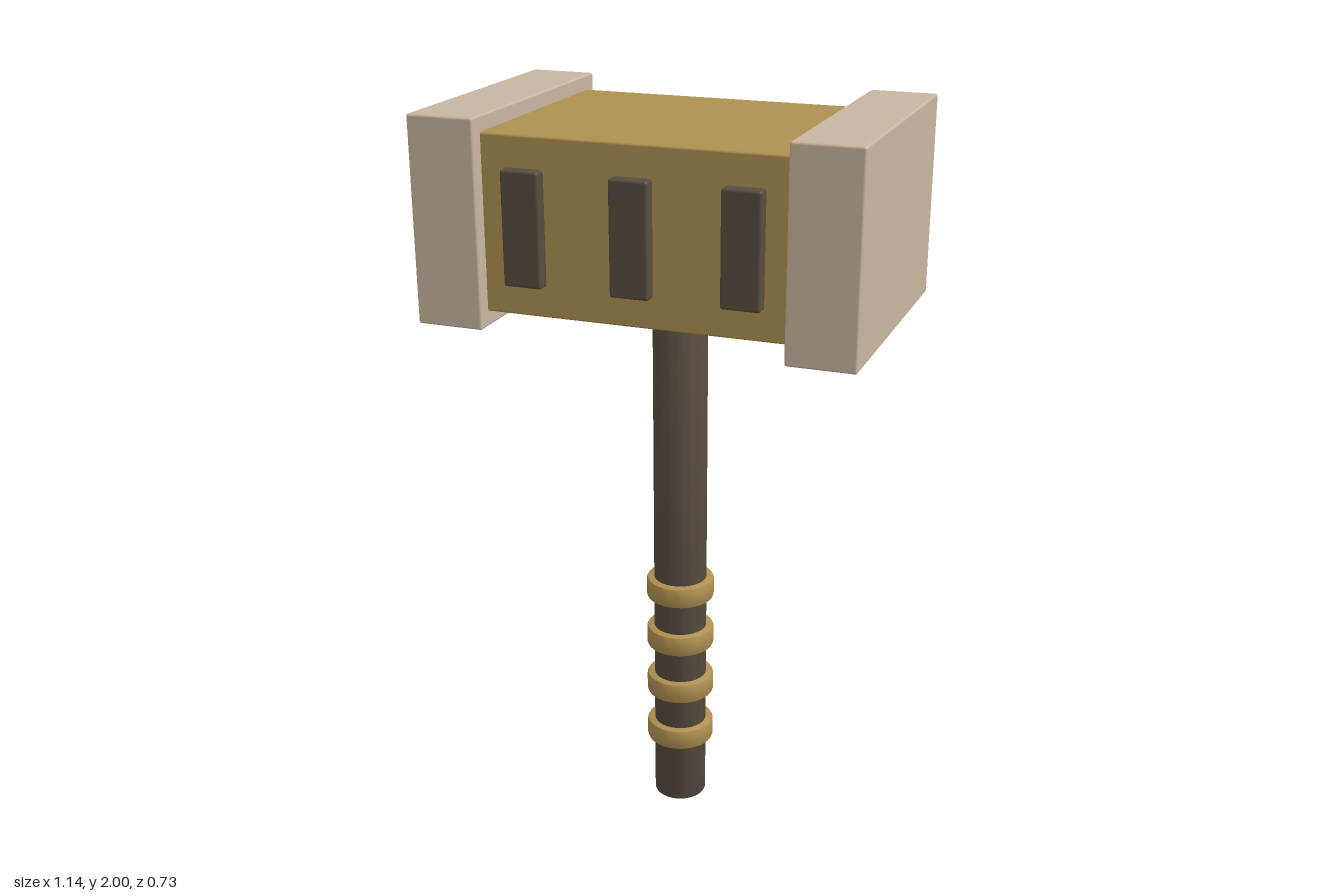
import * as THREE from 'three';
import { RoundedBoxGeometry } from 'three/addons/geometries/RoundedBoxGeometry.js';
import { toCreasedNormals } from 'three/addons/utils/BufferGeometryUtils.js';

const material = (name, color) => {
  const m = new THREE.MeshStandardMaterial({ color });
  m.name = name;
  return m;
};

export function createModel() {
  const stone = material('pale stone', 0xc8b5a0);
  const gold = material('aged gold', 0xae9050);
  const dark = material('dark wood', 0x574d40);

  const model = new THREE.Group();
  model.name = 'hammer';

  const add = (name, geometry, mat, x, y, z) => {
    const mesh = new THREE.Mesh(geometry, mat);
    mesh.name = name;
    mesh.position.set(x, y, z);
    model.add(mesh);
  };

  const box = (w, h, d, bevel) => new RoundedBoxGeometry(w, h, d, 2, bevel);

  // Upright cylinder with softly bevelled rims, its base at y = 0
  const bevelledCylinder = (r, h, b) => {
    const points = [
      [0, 0], [r - b, 0], [r - b * 0.3, b * 0.3], [r, b],
      [r, h - b], [r - b * 0.3, h - b * 0.3], [r - b, h], [0, h],
    ].map(([x, y]) => new THREE.Vector2(x, y));
    return toCreasedNormals(new THREE.LatheGeometry(points, 32), 0.6);
  };

  // Head: gold block between two larger striking faces
  add('headBlock', box(0.8, 0.447, 0.648, 0.006), gold, 0, 1.737, 0);
  for (const side of [-1, 1]) {
    add(side > 0 ? 'leftStrikingFace' : 'rightStrikingFace',
      box(0.177, 0.526, 0.728, 0.006), stone, side * 0.4815, 1.737, 0);
  }

  // Raised bars on the front of the head
  for (const x of [-0.28, 0, 0.28]) {
    add('frontBar', box(0.1, 0.288, 0.07, 0.007), dark, x, 1.737, 0.322);
  }

  // Handle, running up into the head
  add('handle', bevelledCylinder(0.073, 1.6, 0.006), dark, 0, 0, 0);

  // Grip rings
  for (let i = 0; i < 4; i++) {
    add('gripRing', bevelledCylinder(0.094, 0.06, 0.008), gold, 0, 0.182 + i * 0.151, 0);
  }

  return model;
}
